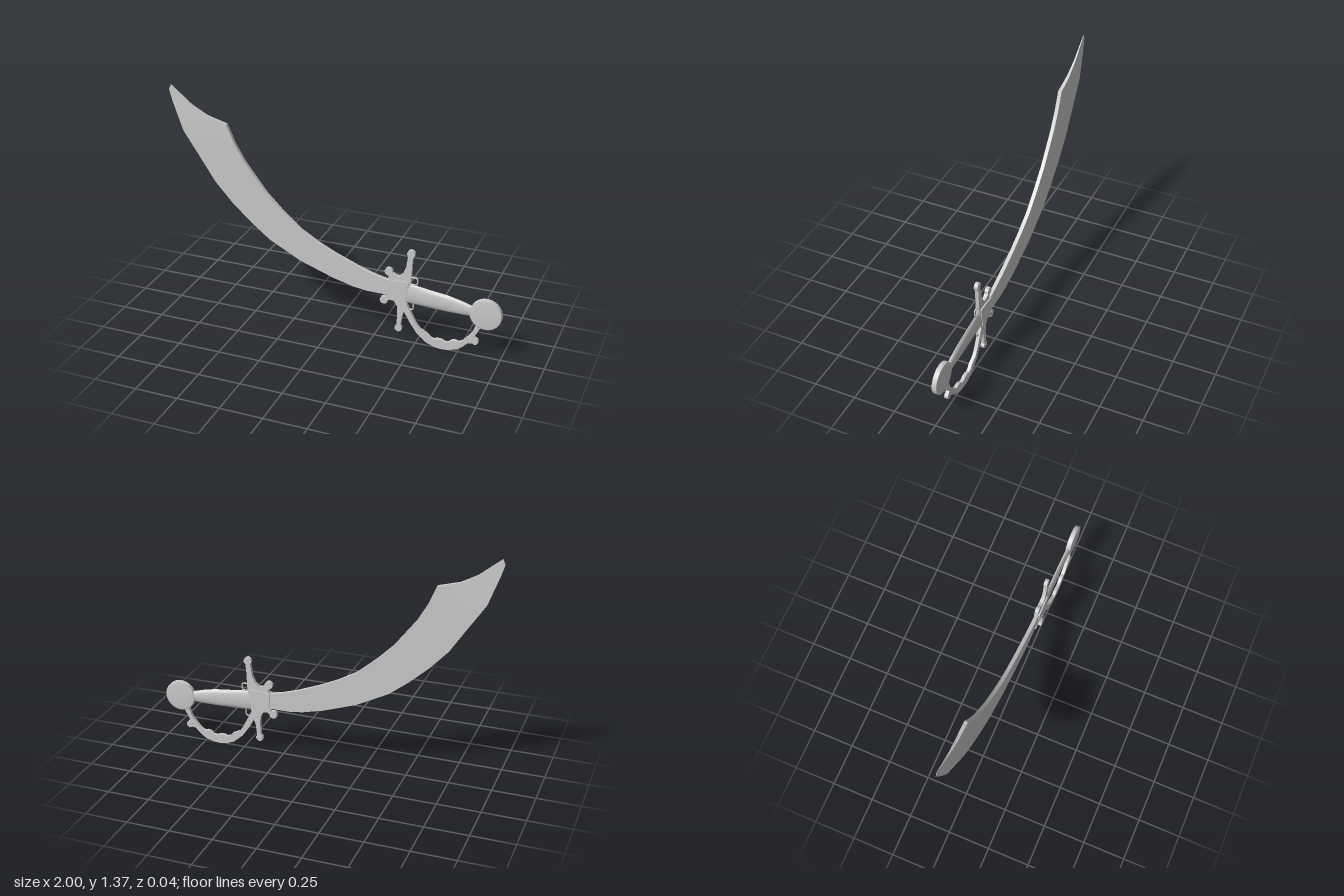
import * as THREE from 'three';
import { toCreasedNormals } from 'three/addons/utils/BufferGeometryUtils.js';

const material = new THREE.MeshStandardMaterial({ color: 0xcccccc, side: THREE.DoubleSide });

function addMesh(group, name, geometry) {
  const mesh = new THREE.Mesh(geometry, material);
  mesh.name = name;
  group.add(mesh);
  return mesh;
}

// Skin over rings of points that run toward +x, each ring going +y, +z, -y, -z
function loft(rings, crease) {
  const n = rings[0].length, last = (rings.length - 1) * n, index = [];
  for (let i = 0; i < rings.length - 1; i++) {
    for (let j = 0; j < n; j++) {
      const a = i * n + j, b = i * n + (j + 1) % n;
      index.push(a, b, a + n, b, b + n, a + n);
    }
  }
  for (let j = 1; j < n - 1; j++) {
    index.push(0, j + 1, j, last, last + j, last + j + 1);
  }
  const geometry = new THREE.BufferGeometry();
  geometry.setAttribute('position', new THREE.Float32BufferAttribute(rings.flat(2), 3));
  geometry.setIndex(index);
  return toCreasedNormals(geometry, crease);
}

// Flat plate of the given half thickness, centred on z = 0
function plate(points, half) {
  const shape = new THREE.Shape(points.map(([x, y]) => new THREE.Vector2(x, y)));
  const geometry = new THREE.ExtrudeGeometry(shape, { depth: half * 2, bevelEnabled: false });
  geometry.translate(0, 0, -half);
  return toCreasedNormals(geometry, 0.6);
}

export function createModel() {
  const group = new THREE.Group();

  // Blade sections: cutting edge x, y, back x, y, half thickness
  const blade = [
    [-1.0, 1.335, -0.987, 1.367, 0.001],
    [-0.978, 1.265, -0.86, 1.262, 0.005],
    [-0.95, 1.19, -0.767, 1.21, 0.008],
    [-0.917, 1.10, -0.644, 1.174, 0.011],
    [-0.81, 0.94, -0.6, 1.07, 0.011],
    [-0.725, 0.81, -0.54, 0.965, 0.011],
    [-0.62, 0.695, -0.41, 0.795, 0.011],
    [-0.505, 0.59, -0.31, 0.695, 0.011],
    [-0.39, 0.50, -0.20, 0.60, 0.011],
    [-0.20, 0.40, -0.09, 0.535, 0.011],
    [0, 0.33, 0.01, 0.487, 0.011],
    [0.125, 0.298, 0.16, 0.427, 0.011],
    [0.20, 0.288, 0.25, 0.398, 0.011],
    [0.35, 0.286, 0.35, 0.376, 0.011],
  ];
  addMesh(group, 'blade', loft(blade.map(([ex, ey, bx, by, h]) =>
    [[bx, by, h], [ex, ey, h], [ex, ey, -h], [bx, by, -h]]), 0.5));

  // Crossguard plate with four arms
  addMesh(group, 'crossguard', plate([
    [0.448, 0.56], [0.436, 0.48], [0.42, 0.44], [0.395, 0.414], [0.375, 0.418],
    [0.355, 0.432], [0.33, 0.425], [0.336, 0.40], [0.33, 0.38], [0.325, 0.286],
    [0.322, 0.268], [0.305, 0.26], [0.315, 0.24], [0.345, 0.258], [0.37, 0.255],
    [0.388, 0.225], [0.392, 0.18], [0.387, 0.09], [0.41, 0.09], [0.42, 0.17],
    [0.436, 0.21], [0.447, 0.26], [0.468, 0.41], [0.471, 0.50], [0.476, 0.56],
  ], 0.0105));

  // Round ends of the guard arms and of the knuckle bow
  const ends = [[0.463, 0.568, 0.023], [0.334, 0.434, 0.024], [0.308, 0.248, 0.023],
    [0.398, 0.083, 0.021], [0.85, 0.094, 0.02]];
  for (const [x, y, r] of ends) {
    const end = addMesh(group, 'guardEnd',
      toCreasedNormals(new THREE.CylinderGeometry(r, r, 0.0215, 20), 0.6));
    end.rotation.x = Math.PI / 2;
    end.position.set(x, y, 0);
  }

  // Thicker collar where blade, guard and grip meet
  addMesh(group, 'collar', plate([
    [0.325, 0.385], [0.325, 0.288], [0.437, 0.258], [0.455, 0.388], [0.44, 0.392],
  ], 0.0175));

  // Knuckle bow with finger waves along its inner edge
  addMesh(group, 'knuckleBow', plate([
    [0.42, 0.24], [0.43, 0.20], [0.463, 0.14], [0.508, 0.076], [0.565, 0.026],
    [0.61, 0.008], [0.655, 0.001], [0.70, 0.005], [0.75, 0.021], [0.785, 0.048],
    [0.81, 0.075], [0.84, 0.08], [0.86, 0.105], [0.845, 0.122], [0.862, 0.155],
    [0.885, 0.20], [0.85, 0.20], [0.834, 0.15], [0.80, 0.106], [0.775, 0.078],
    [0.755, 0.068], [0.735, 0.073], [0.715, 0.069], [0.695, 0.052], [0.675, 0.05],
    [0.655, 0.06], [0.63, 0.061], [0.61, 0.054], [0.59, 0.06], [0.57, 0.082],
    [0.545, 0.094], [0.525, 0.105], [0.50, 0.14], [0.475, 0.19], [0.445, 0.25],
  ], 0.01));

  // Oval grip: x, top y, bottom y
  const grip = [[0.43, 0.378, 0.256], [0.5, 0.373, 0.253], [0.58, 0.362, 0.249],
    [0.68, 0.35, 0.246], [0.76, 0.332, 0.246], [0.85, 0.305, 0.249]];
  addMesh(group, 'grip', loft(grip.map(([x, top, bottom]) =>
    Array.from({ length: 20 }, (_, i) => {
      const a = i / 20 * Math.PI * 2;
      return [x, (top + bottom) / 2 + Math.cos(a) * (top - bottom) / 2, Math.sin(a) * 0.0135];
    })), 0.9));

  // Domed disc pommel
  const half = [[0.092, 0.013], [0.088, 0.0145], [0.07, 0.0162], [0.04, 0.0175], [0, 0.018]];
  const profile = [...half.map(([r, h]) => [r, -h]).reverse(), ...half];
  const pommel = addMesh(group, 'pommel',
    new THREE.LatheGeometry(profile.map(([r, h]) => new THREE.Vector2(r, h)), 40));
  pommel.rotation.x = Math.PI / 2;
  pommel.position.set(0.904, 0.275, 0);

  // Small wire loops above and below the grip
  const loops = {
    upperLoop: [[0.445, 0.417], [0.493, 0.42], [0.503, 0.412], [0.502, 0.385], [0.494, 0.376], [0.455, 0.378]],
    lowerLoop: [[0.44, 0.262], [0.475, 0.258], [0.483, 0.25], [0.482, 0.225], [0.474, 0.215], [0.43, 0.218]],
  };
  for (const [name, points] of Object.entries(loops)) {
    const path = new THREE.CatmullRomCurve3(
      points.map(([x, y]) => new THREE.Vector3(x, y, 0)), false, 'catmullrom', 0.3);
    addMesh(group, name, new THREE.TubeGeometry(path, 30, 0.0045, 8));
  }

  return group;
}
